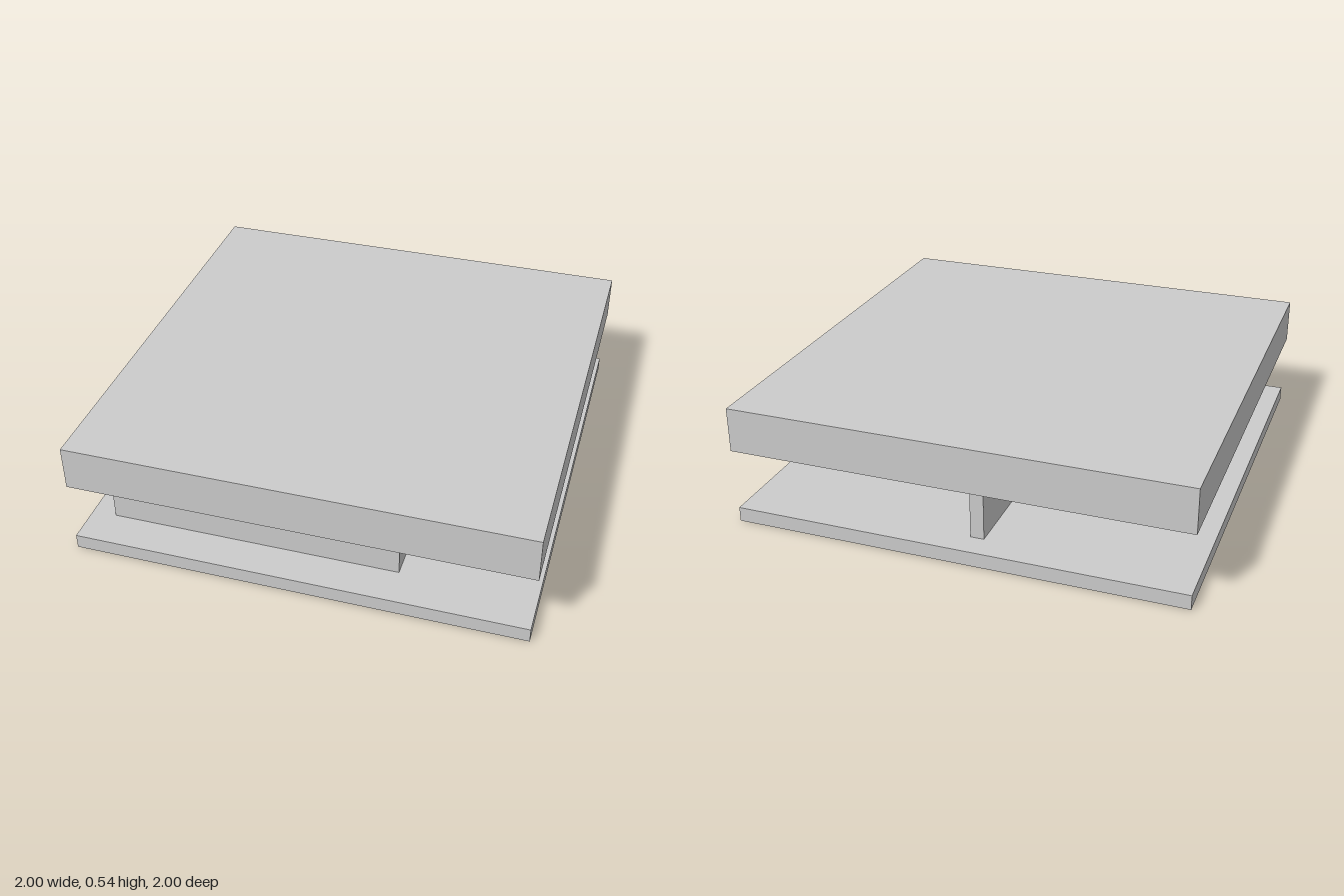
import * as THREE from 'three';

const material = new THREE.MeshStandardMaterial({ color: 0xcccccc });

// Box given by its extents on each axis
function block(name, [x0, x1], [y0, y1], [z0, z1]) {
  const mesh = new THREE.Mesh(new THREE.BoxGeometry(x1 - x0, y1 - y0, z1 - z0), material);
  mesh.name = name;
  mesh.position.set((x0 + x1) / 2, (y0 + y1) / 2, (z0 + z1) / 2);
  return mesh;
}

export function createModel() {
  const model = new THREE.Group();
  model.name = 'flatRoofPavilion';

  const floorTop = 0.065, roofBottom = 0.337;
  const height = [floorTop, roofBottom];
  const leftSide = [0.335, 0.403];
  const rightSide = [-0.887, -0.825];

  // Slabs
  model.add(
    block('floorSlab', [-0.995, 0.99], [0, floorTop], [-1, 1]),
    block('roofSlab', [-1, 1], [roofBottom, 0.535], [-1, 1])
  );

  // Walls between the slabs, with a short return beside the doorway
  const walls = new THREE.Group();
  walls.name = 'walls';
  walls.add(
    block('frontWall', [-0.887, 0.403], height, [0.77, 0.83]),
    block('frontWallReturn', leftSide, height, [0.695, 0.77]),
    block('leftWall', leftSide, height, [-0.42, 0.46]),
    block('rightWall', rightSide, height, [-0.42, 0.5]),
    block('backWall', [-0.887, 0.403], height, [-0.488, -0.42]),
    block('rearFinWall', [-0.095, -0.035], height, [-0.888, -0.488])
  );

  // Headers over the two doorways
  walls.add(
    block('leftDoorHeader', leftSide, [0.33, roofBottom], [0.46, 0.695]),
    block('rightDoorHeader', rightSide, [0.303, roofBottom], [0.5, 0.77])
  );
  model.add(walls);

  return model;
}
